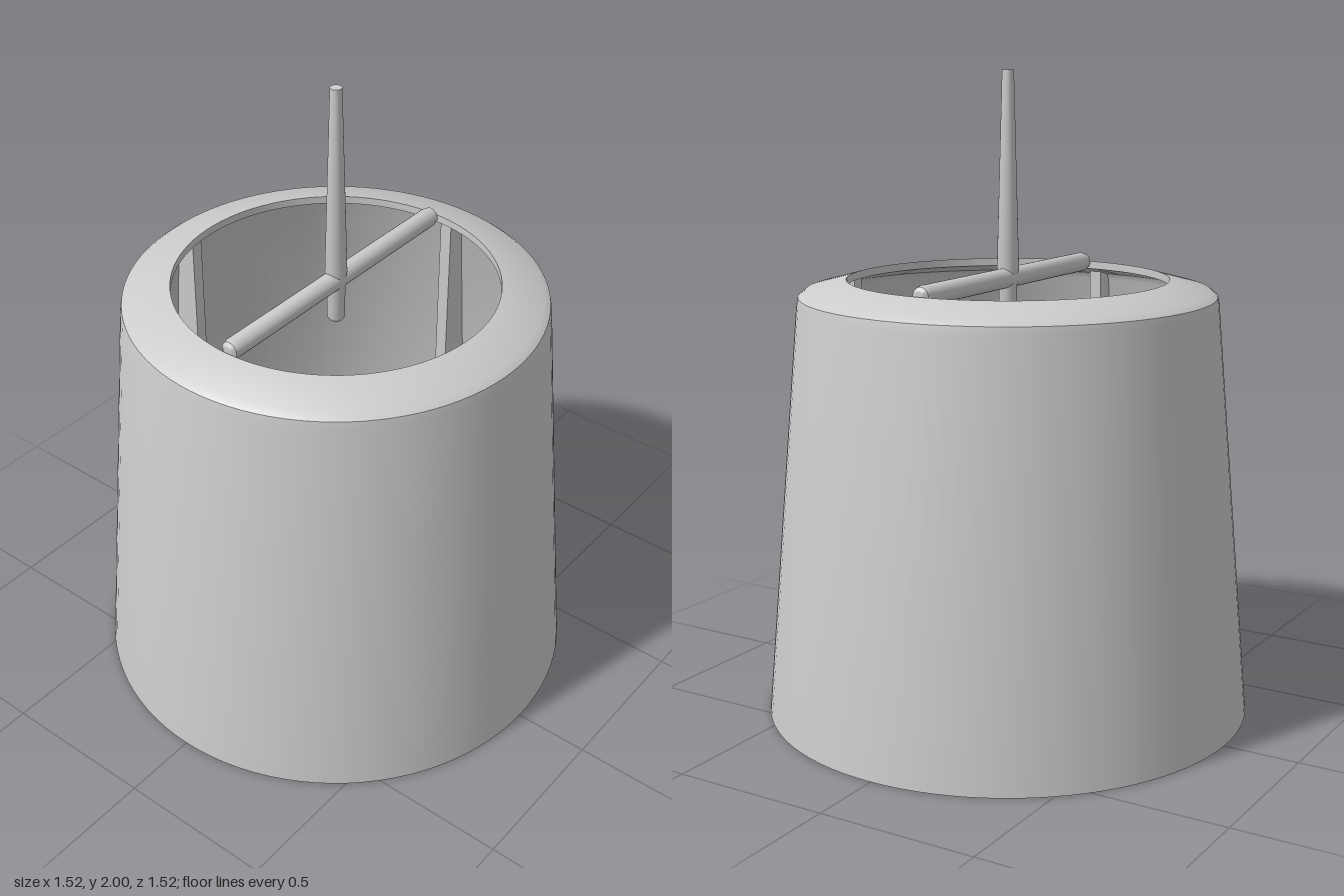
import * as THREE from 'three';
import { toCreasedNormals } from 'three/addons/utils/BufferGeometryUtils.js';

const material = new THREE.MeshStandardMaterial({ color: 0xcccccc });
const vec = ([x, y]) => new THREE.Vector2(x, y);

function addMesh(parent, name, geometry) {
  const mesh = new THREE.Mesh(geometry, material);
  mesh.name = name;
  parent.add(mesh);
  return mesh;
}

// Turned part with sharp edges kept
function turned(points, segments) {
  return toCreasedNormals(new THREE.LatheGeometry(points.map(vec), segments), 0.5);
}

export function createModel() {
  const model = new THREE.Group();
  model.name = 'lampshade';

  // Hollow tapered shade: outer wall, bevelled cap with opening, inner wall
  addMesh(model, 'shade', turned([
    [0.762, 0], [0.65, 1.295], [0.645, 1.32], [0.625, 1.336], [0.497, 1.37],
    [0.497, 1.345], [0.615, 1.315], [0.628, 1.295], [0.74, 0], [0.762, 0],
  ], 96));

  // Four inner ribs with a vertical inner edge and an outer edge along the wall
  const ribShape = new THREE.Shape(
    [[0.57, 0.01], [0.743, 0.01], [0.635, 1.295], [0.615, 1.32], [0.57, 1.33]].map(vec));
  const ribGeometry = new THREE.ExtrudeGeometry(ribShape, { depth: 0.04, bevelEnabled: false });
  ribGeometry.translate(0, 0, -0.02);
  for (let i = 0; i < 4; i++) {
    addMesh(model, 'rib' + (i + 1), ribGeometry).rotation.y = i * Math.PI / 2;
  }

  // Crossbar with rounded ends spanning the opening
  const bar = addMesh(model, 'crossbar', turned([
    [0, -0.492], [0.016, -0.49], [0.027, -0.482], [0.031, -0.465],
    [0.031, 0.465], [0.027, 0.482], [0.016, 0.49], [0, 0.492],
  ], 24));
  bar.rotation.x = Math.PI / 2;
  bar.position.y = 1.37;

  // Tapered hanging stem, continuing a little below the crossbar
  addMesh(model, 'stem', turned([
    [0, 1.23], [0.022, 1.23], [0.027, 1.24], [0.029, 1.37], [0.034, 1.4],
    [0.018, 2], [0, 2],
  ], 24));

  return model;
}
